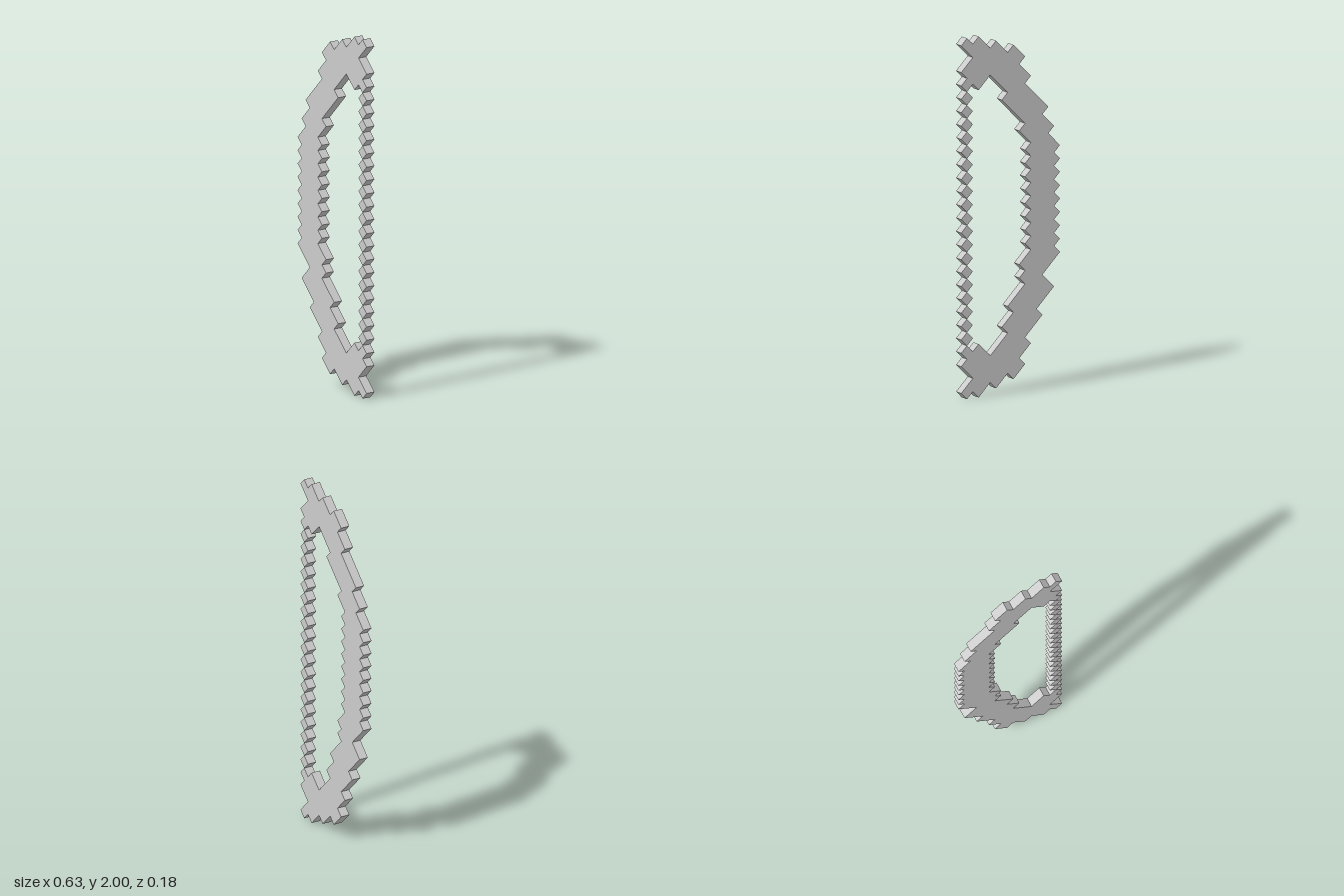
import * as THREE from 'three';

const H = 1 / 27;              // half diagonal of one pixel block
const S = H * Math.SQRT2;      // block side, also the thickness
const MID = 8.5;               // middle column of the lattice

export function createModel() {
  const model = new THREE.Group();
  model.name = 'pixelBow';
  const mat = new THREE.MeshStandardMaterial({ color: 0xcccccc, flatShading: true });

  // Stepped outline on the diagonal lattice [column, row], starting at the upper tip
  const pts = [
    [17, 53], [16, 54], [15, 53], [14, 54], [12, 52], [11, 53], [9, 51], [8, 52],
    [6, 50], [7, 49], [5, 47], [6, 46], [2, 42], [3, 41], [1, 39], [2, 38],
  ];
  // Outer teeth of the grip
  for (let v = 36; v > 20; v -= 2) pts.push([0, v], [1, v - 1]);
  // Lower limb, outer side, to the lower tip
  pts.push(
    [0, 20], [3, 17], [1, 15], [4, 12], [3, 11], [6, 8], [5, 7], [7, 5], [6, 4],
    [8, 2], [9, 3], [11, 1], [12, 2], [14, 0], [15, 1], [16, 0], [17, 1],
    [15, 3], [17, 5], [14, 8], [12, 6],
  );
  // Lower limb, inner side
  pts.push([9, 9], [10, 10], [8, 12], [9, 13], [6, 16], [7, 17], [6, 18], [7, 19]);
  // Inner teeth of the grip
  for (let v = 21; v < 37; v += 2) pts.push([5, v], [6, v + 1]);
  // Upper limb, inner side
  pts.push([5, 37], [7, 39], [6, 40], [10, 44], [9, 45], [12, 48], [14, 46], [17, 49], [15, 51]);

  const shape = new THREE.Shape(pts.map(([u, v]) => new THREE.Vector2((u - MID) * H, v * H)));
  const limbGeo = new THREE.ExtrudeGeometry(shape, { depth: S, bevelEnabled: false });
  limbGeo.translate(0, 0, -S / 2);
  const limbs = new THREE.Mesh(limbGeo, mat);
  limbs.name = 'bowLimbs';
  model.add(limbs);

  // String: a chain of blocks standing on their corners
  const string = new THREE.Group();
  string.name = 'bowString';
  const block = new THREE.BoxGeometry(S, S, S).rotateZ(Math.PI / 4);
  for (let v = 7; v <= 47; v += 2) {
    const b = new THREE.Mesh(block, mat);
    b.name = 'stringBlock';
    b.position.set((16 - MID) * H, v * H, 0);
    string.add(b);
  }
  model.add(string);

  // The whole bow is turned slightly about the vertical
  model.rotation.y = -0.21;
  const root = new THREE.Group();
  root.name = 'bow';
  root.add(model);
  return root;
}
